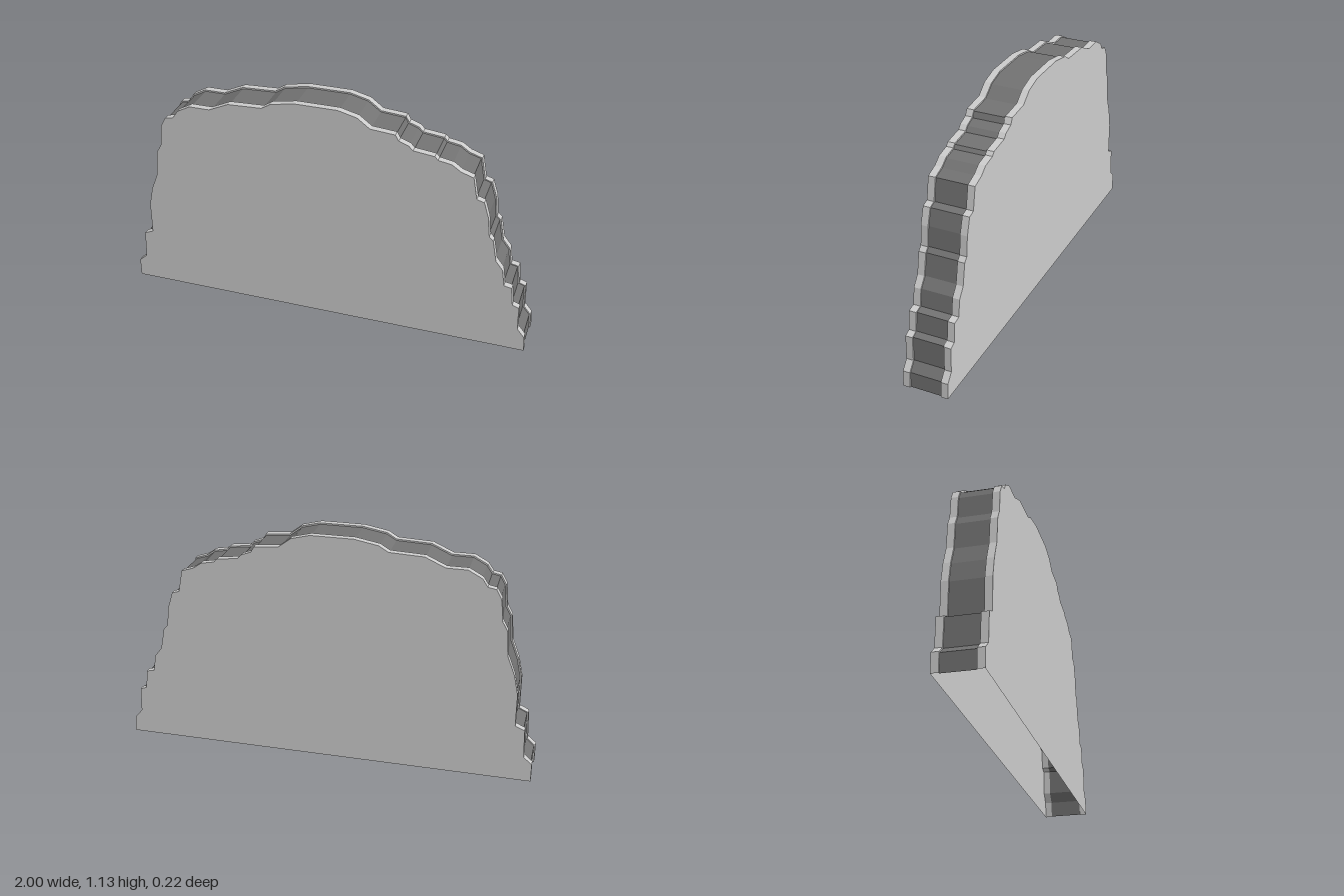
import * as THREE from 'three';

// Outline from the lower left foot over the top to the lower right foot
const OUTLINE = [
  [-1, 0], [-1, .09], [-.96, .125], [-.955, .265], [-.91, .285], [-.91, .445], [-.89, .54], [-.855, .63],
  [-.845, .755], [-.82, .8], [-.81, .905], [-.785, .95], [-.745, .958], [-.72, .995], [-.655, 1.03],
  [-.555, 1.03], [-.46, 1.073], [-.295, 1.08], [-.25, 1.107], [-.135, 1.128], [.07, 1.128], [.16, 1.105],
  [.22, 1.06], [.337, 1.05], [.353, 1.022], [.4, 1.005], [.42, .985], [.52, .973], [.535, .957], [.6, .945],
  [.64, .917], [.7, .897], [.72, .79], [.755, .78], [.78, .7], [.79, .605], [.81, .585], [.83, .48],
  [.865, .435], [.877, .353], [.915, .345], [.925, .252], [.957, .24], [.96, .12], [.995, .077], [1, 0],
].map(([x, y]) => new THREE.Vector2(x, y));

const HALF = 0.11;      // half of the full thickness
const RIM = 0.076;      // inner edge of each rim
const INSET = 0.007;    // how far the middle band sits below the rims

// Outline moved inwards, with the feet kept on the ground
function insetOutline(d) {
  const last = OUTLINE.length - 1;
  return OUTLINE.map((p, i) => {
    if (d === 0) return p.clone();
    const a = OUTLINE[Math.max(i - 1, 0)], b = OUTLINE[Math.min(i + 1, last)];
    const t = b.clone().sub(a).normalize();
    const q = new THREE.Vector2(p.x + t.y * d, p.y - t.x * d);
    if (i === 0 || i === last) q.y = 0;
    return q;
  });
}

// Open wall swept along the outline through sections of [z, inset], front to back
function wall(sections) {
  const rings = sections.map(([z, d]) => insetOutline(d).map((p) => [p.x, p.y, z]));
  const pos = [];
  for (let s = 0; s < rings.length - 1; s++) {
    for (let i = 0; i < OUTLINE.length - 1; i++) {
      const a = rings[s][i], b = rings[s][i + 1], c = rings[s + 1][i + 1], d = rings[s + 1][i];
      pos.push(...a, ...b, ...c, ...a, ...c, ...d);
    }
  }
  const g = new THREE.BufferGeometry();
  g.setAttribute('position', new THREE.Float32BufferAttribute(pos, 3));
  g.computeVertexNormals();
  return g;
}

export function createModel() {
  const group = new THREE.Group();
  const light = new THREE.MeshStandardMaterial({ color: 0xcccccc, flatShading: true, side: THREE.DoubleSide });
  const dark = new THREE.MeshStandardMaterial({ color: 0x727272, flatShading: true, side: THREE.DoubleSide });
  const add = (name, geometry, material) => {
    const mesh = new THREE.Mesh(geometry, material);
    mesh.name = name;
    group.add(mesh);
    return mesh;
  };

  // Flat front and back panels
  const panel = new THREE.ShapeGeometry(new THREE.Shape(OUTLINE));
  add('frontPanel', panel, light).position.z = HALF;
  const back = add('backPanel', new THREE.ShapeGeometry(
    new THREE.Shape(OUTLINE.map((p) => new THREE.Vector2(-p.x, p.y)))), light);
  back.position.z = -HALF;
  back.rotation.y = Math.PI;

  // Raised rims, each with a small step down to the middle band
  add('frontRim', wall([[HALF, 0], [RIM, 0], [RIM, INSET]]), light);
  add('backRim', wall([[-RIM, INSET], [-RIM, 0], [-HALF, 0]]), light);

  // Sunken middle band; the underside stays open
  add('middleBand', wall([[RIM, INSET], [-RIM, INSET]]), dark);

  return group;
}
